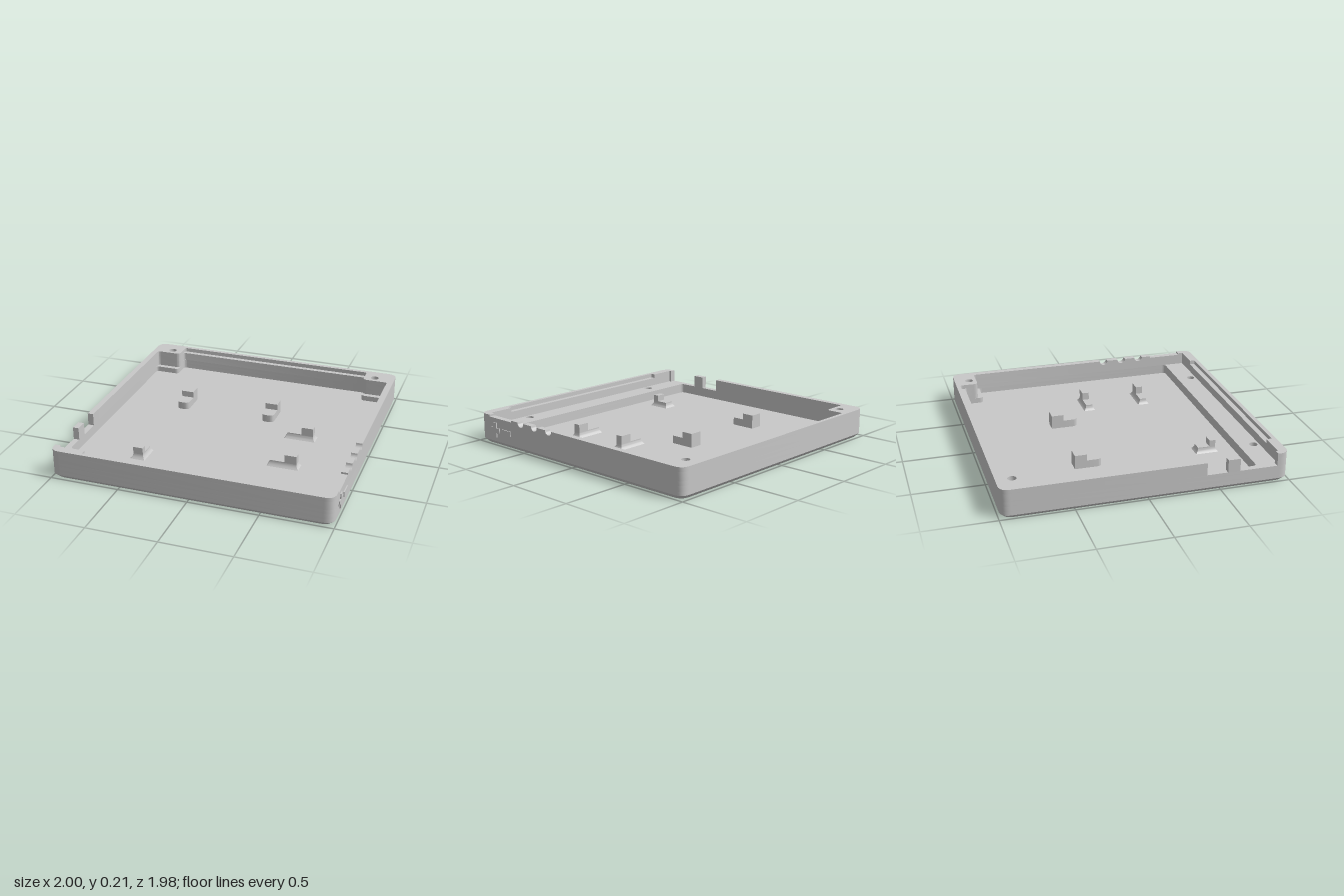
import * as THREE from 'three';
import { toCreasedNormals } from 'three/addons/utils/BufferGeometryUtils.js';

const grey = new THREE.MeshStandardMaterial({ color: 0xc8c8c8 });
grey.name = 'casing grey';

// Plan outline from [x, z, cornerRadius] points
function outline(points, Type = THREE.Shape) {
  const path = new Type();
  const n = points.length;
  points.forEach(([x, z, r = 0], i) => {
    const p = new THREE.Vector2(x, -z);
    const toward = ([qx, qz]) =>
      new THREE.Vector2(qx, -qz).sub(p).normalize().multiplyScalar(r).add(p);
    const a = toward(points[(i + n - 1) % n]);
    const b = toward(points[(i + 1) % n]);
    if (i === 0) path.moveTo(a.x, a.y);
    else path.lineTo(a.x, a.y);
    if (r) path.quadraticCurveTo(p.x, p.y, b.x, b.y);
  });
  path.closePath();
  return path;
}

function roundHole(x, z, r) {
  return new THREE.Path().absarc(x, -z, r, 0, Math.PI * 2, false);
}

function hexHole(x, z, r) {
  const corners = [];
  for (let i = 0; i < 6; i++) {
    const a = (i * Math.PI) / 3;
    corners.push([x + r * Math.cos(a), z + r * Math.sin(a)]);
  }
  return outline(corners, THREE.Path);
}

function extrude(shape, depth) {
  return new THREE.ExtrudeGeometry(shape, { depth, bevelEnabled: false, curveSegments: 10 });
}

// Horizontal slab between two heights
function slab(shape, y0, y1) {
  return extrude(shape, y1 - y0).rotateX(-Math.PI / 2).translate(0, y0, 0);
}

// Side profile (u = -z, y) extruded along x
function sideways(shape, x0, x1) {
  return extrude(shape, x1 - x0).rotateY(Math.PI / 2).translate(x0, 0, 0);
}

function box(x0, x1, y0, y1, z0, z1) {
  return new THREE.BoxGeometry(x1 - x0, y1 - y0, z1 - z0)
    .translate((x0 + x1) / 2, (y0 + y1) / 2, (z0 + z1) / 2);
}

// Base that curves outward into the floor
function flaredBase(x0, x1, z0, z1) {
  const h = 0.035, w = x1 - x0, d = z1 - z0;
  const g = new THREE.BoxGeometry(w, h, d, 1, 5, 1);
  const p = g.attributes.position;
  for (let i = 0; i < p.count; i++) {
    const out = 0.018 * (0.5 - p.getY(i) / h) ** 2;
    p.setX(i, p.getX(i) + Math.sign(p.getX(i)) * out);
    p.setZ(i, p.getZ(i) + Math.sign(p.getZ(i)) * out);
  }
  g.computeVertexNormals();
  return g.translate((x0 + x1) / 2, FLOOR + h / 2, (z0 + z1) / 2);
}

const FLOOR = 0.05, LEDGE = 0.09, SHELF = 0.12, LIP = 0.18, TOP = 0.21;
const L = -1, R = 0.993, B = -0.99, F = 0.99;           // outer faces
const IL = -0.957, IR = 0.947, BL = -0.77, BR = 0.76;   // cavity and corner blocks
const BZ = -0.825, IF = 0.922;                          // block front, front wall inside
const OUTER = [[L, F, 0.07], [R, F, 0.07], [R, B, 0.07], [L, B, 0.07]];
const BACK_SCREWS = [[-0.85, -0.88], [0.84, -0.88]];
const FRONT_SCREWS = [[-0.65, 0.88], [0.625, 0.88]];
const SCREWS = [...BACK_SCREWS, ...FRONT_SCREWS];

export function createModel() {
  const model = new THREE.Group();
  model.name = 'enclosureTray';
  const add = (name, geometry) => {
    const mesh = new THREE.Mesh(toCreasedNormals(geometry, 0.5), grey);
    mesh.name = name;
    model.add(mesh);
  };

  // Base plate with hexagonal recesses and a chamfered lower edge
  const base = outline(OUTER);
  SCREWS.forEach(([x, z]) => base.holes.push(hexHole(x, z, 0.045)));
  const chamfer = slab(base, 0, 0.025);
  const p = chamfer.attributes.position;
  for (let i = 0; i < p.count; i++) {
    const x = p.getX(i), z = p.getZ(i);
    if (p.getY(i) < 0.01 && Math.max(Math.abs(x), Math.abs(z)) > 0.94) {
      p.setX(i, x * 0.978);
      p.setZ(i, z * 0.978);
    }
  }
  chamfer.computeVertexNormals();
  add('chamferedBase', chamfer);
  add('floorPlate', slab(base, 0.025, FLOOR));

  // Lower walls with the front shelf; the first layer closes the screw holes
  const lowerWall = (name, blockZ, screws, y0, y1) => {
    const s = outline(OUTER);
    s.holes.push(outline([
      [IL, blockZ, 0.02], [BL, blockZ, 0.03], [BL, -0.925, 0.03], [BR, -0.925, 0.03],
      [BR, blockZ, 0.03], [IR, blockZ, 0.02], [IR, 0.773, 0.03], [IL, 0.773, 0.03],
    ], THREE.Path));
    screws.forEach(([x, z]) => s.holes.push(roundHole(x, z, 0.03)));
    add(name, slab(s, y0, y1));
  };
  lowerWall('wallWithCornerLedges', -0.787, [], FLOOR, LEDGE);
  lowerWall('wallWithFrontShelf', BZ, SCREWS, LEDGE, SHELF);

  // Upper walls: a back part and a front part, with a lid groove near the rim
  const upperWall = (suffix, backZ, groove, y0, y1) => {
    const back = outline([
      [L, 0.402], [L, B, 0.07], [R, B, 0.07], [R, 0.19], [IR, 0.19],
      [IR, BZ, 0.02], [BR, BZ, 0.03], [BR, backZ, 0.02], [BL, backZ, 0.02],
      [BL, BZ, 0.03], [IL, BZ, 0.02], [IL, 0.402],
    ]);
    BACK_SCREWS.forEach(([x, z]) => back.holes.push(roundHole(x, z, 0.03)));
    add('backWall' + suffix, slab(back, y0, y1));
    add('frontWall' + suffix, slab(outline([
      [L, 0.905], [IL, 0.905], [IL, IF], ...groove, [IR, IF], [IR, 0.905],
      [R, 0.905], [R, F, 0.07], [L, F, 0.07],
    ]), y0, y1));
  };
  upperWall('Upper', -0.925, [], SHELF, LIP);
  upperWall('Rim', -0.96, [[BL, IF], [BL, 0.96], [BR, 0.96], [BR, IF]], LIP, TOP);

  // Post standing between the two side openings
  add('openingPost', box(L, IL, SHELF, TOP, 0.55, 0.637));

  // Side wall with three half-round cable notches and a shallow dip
  const notched = new THREE.Shape().moveTo(-0.19, SHELF).lineTo(-0.19, TOP);
  [0.243, 0.393, 0.538].forEach((c) => {
    notched.lineTo(-c + 0.032, TOP).absarc(-c, TOP, 0.032, 0, -Math.PI, true);
  });
  [[0.64, TOP], [0.64, 0.197], [0.885, 0.197], [0.885, TOP], [0.905, TOP], [0.905, SHELF]]
    .forEach(([z, y]) => notched.lineTo(-z, y));
  add('notchedWall', sideways(notched, IR, R));

  // Raised polarity marks on the outer side wall
  add('plusMarkUpright', box(0.985, 1, 0.055, 0.165, 0.804, 0.838));
  add('plusMarkBar', box(0.985, 0.9995, 0.091, 0.127, 0.771, 0.871));
  add('minusMark', box(0.985, 1, 0.091, 0.127, 0.65, 0.746));

  // Two stepped supports with rounded fronts
  [-0.495, 0.181].forEach((x) => {
    const x0 = x - 0.046, x1 = x + 0.046;
    add('supportBack', box(x0, x1, FLOOR, 0.15, -0.385, -0.298));
    add('supportStep', slab(outline([
      [x0, -0.298], [x1, -0.298], [x1, -0.192, 0.035], [x0, -0.192, 0.035],
    ]), FLOOR, 0.105));
  });

  // Stepped board clips on flared bases
  [-0.03, 0.403].forEach((z) => {
    const z0 = z - 0.025, z1 = z + 0.025;
    add('clipBase', flaredBase(0.393, 0.585, z0, z1));
    add('clipStep', box(0.393, 0.5, FLOOR, 0.09, z0, z1));
    add('clipUpright', box(0.5, 0.585, FLOOR, 0.145, z0, z1));
  });
  add('frontClipBase', flaredBase(-0.54, -0.468, 0.51, 0.638));
  add('frontClipStep', box(-0.54, -0.468, FLOOR, 0.09, 0.51, 0.595));
  add('frontClipUpright', box(-0.54, -0.468, FLOOR, 0.135, 0.595, 0.638));

  return model;
}
